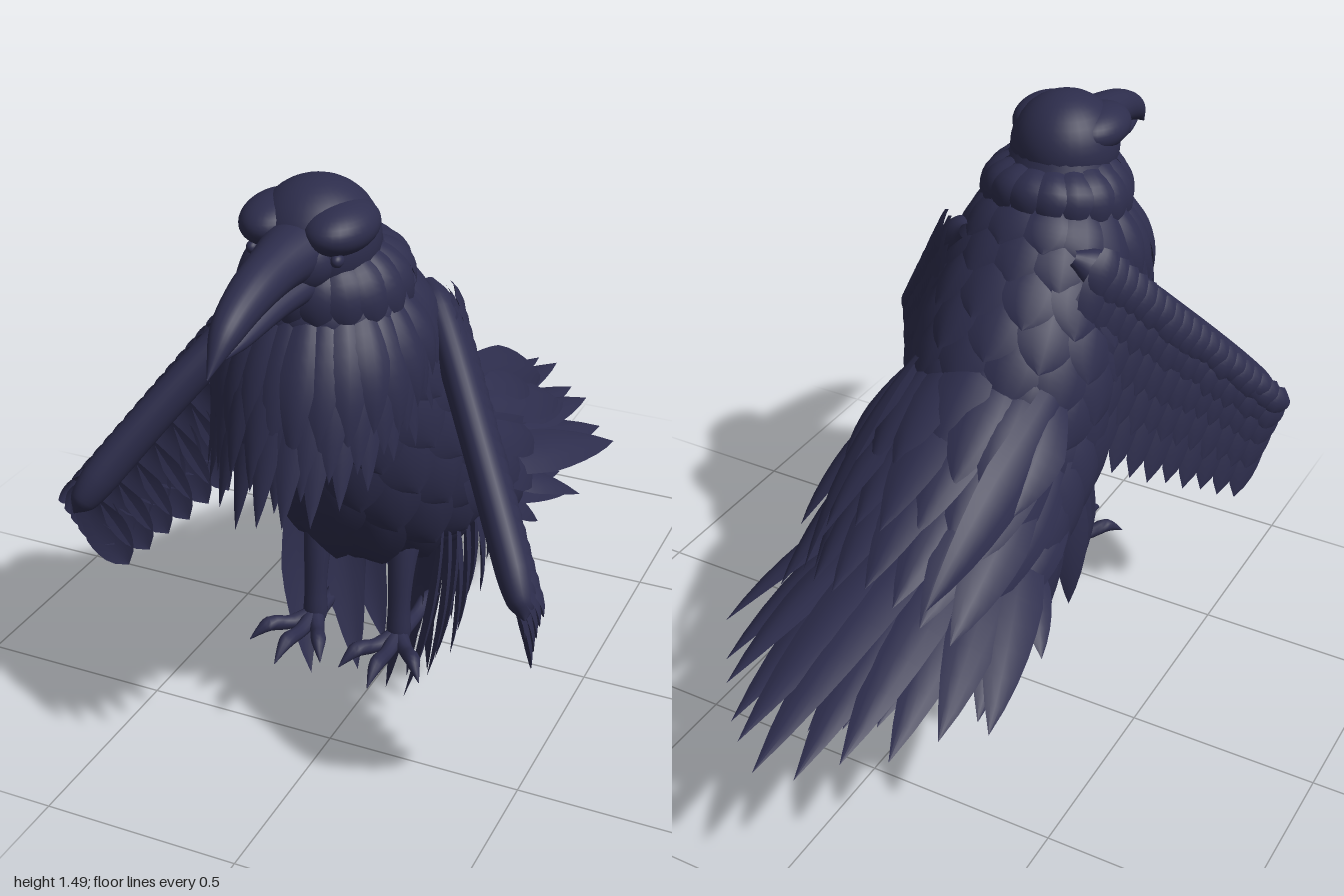
import * as THREE from 'three';
import { mergeGeometries } from 'three/addons/utils/BufferGeometryUtils.js';

const V = (x, y, z) => new THREE.Vector3(x, y, z);
const plumage = new THREE.MeshStandardMaterial({ color: 0x2d2d4c, side: THREE.DoubleSide });
plumage.name = 'midnight plumage';

let seed = 7;
const rnd = (a) => { seed = (seed * 16807) % 2147483647; return (seed / 2147483647 - 0.5) * 2 * a; };

function build(pos, idx) {
  const g = new THREE.BufferGeometry();
  g.setAttribute('position', new THREE.Float32BufferAttribute(pos, 3));
  g.setIndex(idx);
  g.computeVertexNormals();
  return g;
}

// Rows of [x, y, z, radius across, radius deep] become a smooth surface sampler
function sampler(rows) {
  const path = new THREE.CatmullRomCurve3(rows.map((r) => V(r[0], r[1], r[2])));
  const size = new THREE.CatmullRomCurve3(rows.map((r, i) => V(r[3], r[4] ?? r[3], i * 0.05)));
  return (t, a) => {
    const c = path.getPoint(t), r = size.getPoint(t), d = path.getTangent(t);
    const side = V(1, 0, 0).addScaledVector(d, -d.x).normalize();
    const up = d.clone().cross(side);
    return c.addScaledVector(side, Math.cos(a) * r.x).addScaledVector(up, Math.sin(a) * r.y);
  };
}

function loft(rows, n = 28, m = 24) {
  const at = sampler(rows), pos = [], idx = [];
  for (let i = 0; i <= n; i++) for (let j = 0; j < m; j++) pos.push(...at(i / n, j / m * Math.PI * 2).toArray());
  for (let i = 0; i < n; i++) for (let j = 0; j < m; j++) {
    const k = (j + 1) % m, a = i * m + j, b = i * m + k;
    idx.push(a, b, a + m, b, b + m, a + m);
  }
  return build(pos, idx);
}

// Cambered feather blade; a higher power gives a rounder end
function feather(base, tip, half, out, bow = 0.02, power = 3) {
  const dir = tip.clone().sub(base).normalize();
  const side = dir.clone().cross(out).normalize();
  const nor = side.clone().cross(dir).normalize();
  const pos = [], idx = [], n = 9;
  for (let i = 0; i <= n; i++) {
    const s = i / n, w = half * (0.45 + 0.55 * Math.min(1, s * 2.2)) * (1 - s ** power);
    for (let j = -2; j <= 2; j++) {
      const u = j / 2;
      pos.push(...base.clone().lerp(tip, s).addScaledVector(side, u * w)
        .addScaledVector(nor, bow * 4 * s * (1 - s) - w * 0.25 * u * u).toArray());
    }
  }
  for (let i = 0; i < n; i++) for (let j = 0; j < 4; j++) {
    const a = i * 5 + j;
    idx.push(a, a + 1, a + 5, a + 1, a + 6, a + 5);
  }
  return build(pos, idx);
}

function ball(x, y, z, sx, sy, sz) {
  return new THREE.SphereGeometry(1, 32, 20).scale(sx, sy, sz).translate(x, y, z);
}

export function createModel() {
  const bird = new THREE.Group();
  bird.name = 'bird';
  const add = (name, geos) => {
    const mesh = new THREE.Mesh(mergeGeometries(geos), plumage);
    mesh.name = name;
    bird.add(mesh);
  };

  // Torso and its overlapping scale feathers
  const torso = [[0, 1.36, 0.49, 0.13], [0, 1.22, 0.46, 0.18, 0.18], [0, 1.05, 0.38, 0.24, 0.22],
    [0, 0.85, 0.28, 0.27, 0.28], [0, 0.65, 0.16, 0.25, 0.27], [0, 0.52, -0.02, 0.21, 0.18], [0, 0.48, -0.22, 0.06, 0.05]];
  add('body', [loft(torso)]);
  const skin = sampler(torso), scales = [];
  for (let r = 0; r < 9; r++) for (let k = 0; k < 13; k++) {
    const t = 0.14 + r * 0.075, a = (k + (r % 2) / 2) / 13 * Math.PI * 2;
    const base = skin(t, a), out = base.clone().sub(skin(t, a + Math.PI)).normalize();
    const tip = skin(Math.min(0.95, t + 0.15), a).addScaledVector(out, 0.02);
    scales.push(feather(base, tip, 0.08, out, 0.012, 5));
  }
  add('bodyFeathers', scales);

  // Head with a low brow ridge, cheeks and eyes
  add('head', [ball(0, 1.36, 0.5, 0.14, 0.14, 0.15), ball(0, 1.35, 0.6, 0.09, 0.08, 0.08)]);
  add('brows', [-1, 1].map((s) => ball(s * 0.075, 1.41, 0.535, 0.077, 0.056, 0.115)));
  add('eyes', [-1, 1].map((s) => ball(s * 0.1, 1.362, 0.61, 0.014, 0.015, 0.018)));

  // Curved beak
  add('upperBeak', [loft([[0, 1.37, 0.58, 0.085, 0.07], [0, 1.365, 0.7, 0.06, 0.056], [0, 1.345, 0.82, 0.048, 0.047],
    [0, 1.305, 0.92, 0.034, 0.034], [0, 1.24, 0.998, 0.002]])]);
  add('lowerBeak', [loft([[0, 1.305, 0.58, 0.075, 0.05], [0, 1.292, 0.72, 0.045, 0.036], [0, 1.268, 0.87, 0.024, 0.02],
    [0, 1.256, 0.95, 0.002]])]);

  // Collar all round the neck, lifted at the nape
  const collar = [];
  for (let r = 0; r < 2; r++) for (let k = 0; k < 18; k++) {
    const a = (k + r / 2) / 18 * Math.PI * 2, s = Math.sin(a), c = Math.cos(a), nape = Math.max(0, -c);
    collar.push(feather(V(s * 0.13, 1.35 - r * 0.06, 0.48 + c * 0.13),
      V(s * 0.195, 1.2 - r * 0.06 + nape * 0.03, 0.46 + c * 0.19), 0.045, V(s, 0.3, c), 0.03 + nape * 0.015, 5));
  }
  add('collar', collar);

  // Shaggy throat bib
  const bib = [];
  for (let r = 0; r < 3; r++) for (let k = -7; k <= 7; k++) {
    const a = (k + (r % 2) / 2) * 0.23, s = Math.sin(a), c = Math.cos(a), f = 1 - r * 0.14;
    bib.push(feather(V(s * 0.17, 1.25, 0.46 + c * 0.17),
      V(s * 0.25, 1.25 - (0.46 - 0.17 * (1 - c)) * f + rnd(0.03), 0.46 + c * (0.17 + 0.2 * f)),
      0.045, V(s, 0.2, c), 0.02 + r * 0.008, 3));
  }
  add('throatBib', bib);

  // Tail: main fan, and a shorter drooping layer beneath
  const fan = [], under = [];
  for (let i = -5; i <= 5; i++) {
    const u = i / 5, e = Math.abs(u);
    fan.push(feather(V(u * 0.16, 0.63 - e * 0.05, 0.02), V(u * 0.375, 0.41 - e * 0.03 + (i % 2) * 0.025, -1 + 0.42 * e ** 1.3),
      0.088, V(u * 0.4, 1, 0.2), 0.035));
    under.push(feather(V(u * 0.14, 0.52, 0), V(u * 0.29, 0.36 - 0.08 * e, -0.78 + 0.3 * e),
      0.075, V(u * 0.4, 1, 0.2), 0.02));
  }
  add('tailFan', fan);
  add('underTail', under);

  // Long back feathers lying over the tail
  const back = [];
  for (let r = 0; r < 3; r++) for (let i = -3; i <= 3; i++) {
    const u = (i + (r % 2) * 0.4) / 3, e = Math.abs(u);
    back.push(feather(V(u * 0.2, 0.98 - r * 0.07 - e * 0.1, 0.08 - r * 0.05),
      V(u * 0.24, 0.78 - r * 0.09 - e * 0.07, -0.22 - r * 0.15 + rnd(0.03)), 0.085, V(u * 0.8, 1, -0.5), 0.025));
  }
  add('backFeathers', back);

  for (const m of [-1, 1]) {
    const side = m > 0 ? 'left' : 'right';

    // Half-open wing: slim arm plus feather rows from long to short
    add(side + 'WingArm', [loft([[m * 0.15, 1.18, 0.25, 0.02], [m * 0.2, 1.14, 0.29, 0.04, 0.055], [m * 0.37, 0.93, 0.47, 0.042, 0.055],
      [m * 0.52, 0.72, 0.63, 0.042, 0.055], [m * 0.555, 0.66, 0.67, 0.03, 0.04], [m * 0.57, 0.635, 0.69, 0.002]])]);
    [1, 0.76, 0.55, 0.38, 0.25].forEach((len, r) => {
      const row = [], n = 12 + r * 2;
      for (let i = 0; i < n; i++) {
        const s = i / (n - 1);
        const drop = V(m * (-0.03 + 0.015 * s), -0.43 + 0.17 * s, -0.25 + 0.11 * s);
        const out = V(0.4, -0.52, 0.42).cross(V(drop.x * m, drop.y, drop.z));
        if (out.x < 0) out.negate();
        out.normalize();
        out.x *= m;
        const base = V(m * (0.2 + 0.345 * s), 1.14 - 0.47 * s, 0.29 + 0.385 * s)
          .addScaledVector(out, r * 0.011).addScaledVector(drop, -0.03 * r);
        row.push(feather(base, base.clone().addScaledVector(drop, len + rnd(0.02)), 0.052, out, 0.015, 6));
      }
      add(side + ['Primaries', 'Secondaries', 'Coverts', 'SmallCoverts', 'MarginalCoverts'][r], row);
    });

    // Broad folded feathers along the flank, longest at the top
    const flank = [];
    for (let i = 0; i < 4; i++) {
      flank.push(feather(V(m * (0.2 + i * 0.01), 0.9 - i * 0.09, 0.1),
        V(m * (0.17 + i * 0.025), 0.6 - i * 0.06, -0.52 + i * 0.08), 0.075, V(m, 0.8, -0.2), 0.04));
      flank.push(feather(V(m * 0.25, 0.84 - i * 0.06, 0.24 - i * 0.05),
        V(m * 0.26, 0.55 - i * 0.04, 0.18 - i * 0.11), 0.085, V(m, 0.2, 0), 0.03, 4));
    }
    // Two feathers splaying sideways below the tail base
    flank.push(feather(V(m * 0.17, 0.52, -0.05), V(m * 0.37, 0.38, -0.3), 0.06, V(m * 0.4, 1, 0), 0.03));
    flank.push(feather(V(m * 0.16, 0.48, -0.05), V(m * 0.26, 0.28, -0.28), 0.06, V(m * 0.7, 0.8, 0), 0.03));
    add(side + 'FlankFeathers', flank);

    // Hanging thigh and vent feathers
    const hang = [];
    for (let i = 0; i < 10; i++) {
      const s = i / 9, k = i % 3, low = 0.03 + 0.2 * s ** 3;
      hang.push(feather(V(m * (0.2 - 0.03 * s), 0.6, 0.25 - 0.33 * s),
        V(m * (0.13 + 0.035 * k), low + 0.02 + 0.05 * k + rnd(0.02), 0.34 - 0.62 * s), 0.065, V(m, 0, -0.5), 0.03));
      hang.push(feather(V(m * 0.12, 0.52, 0.2 - 0.28 * s),
        V(m * (0.04 + 0.035 * k), low + rnd(0.02), 0.25 - 0.5 * s), 0.055, V(m * 0.7, 0, -0.7), 0.01));
    }
    add(side + 'ThighFeathers', hang);

    // Leg, toes and claws
    const x = m * 0.115;
    add(side + 'Leg', [loft([[x, 0.56, 0.27, 0.05], [x, 0.46, 0.31, 0.036], [x, 0.34, 0.33, 0.028], [x, 0.25, 0.335, 0.03], [x, 0.235, 0.335, 0.002]], 14, 12)]);
    const toes = [[-0.09, 0.16], [0.01, 0.21], [0.115, 0.14], [0.01, -0.24]];
    add(side + 'Foot', toes.map(([dx, dz]) => loft([[x, 0.255, 0.335, 0.024], [x + m * dx * 0.4, 0.25, 0.335 + dz * 0.4, 0.018],
      [x + m * dx * 0.7, 0.262, 0.335 + dz * 0.7, 0.019], [x + m * dx * 0.85, 0.25, 0.335 + dz * 0.86, 0.011],
      [x + m * dx, 0.232, 0.335 + dz, 0.001]], 14, 10)));
  }
  return bird;
}
